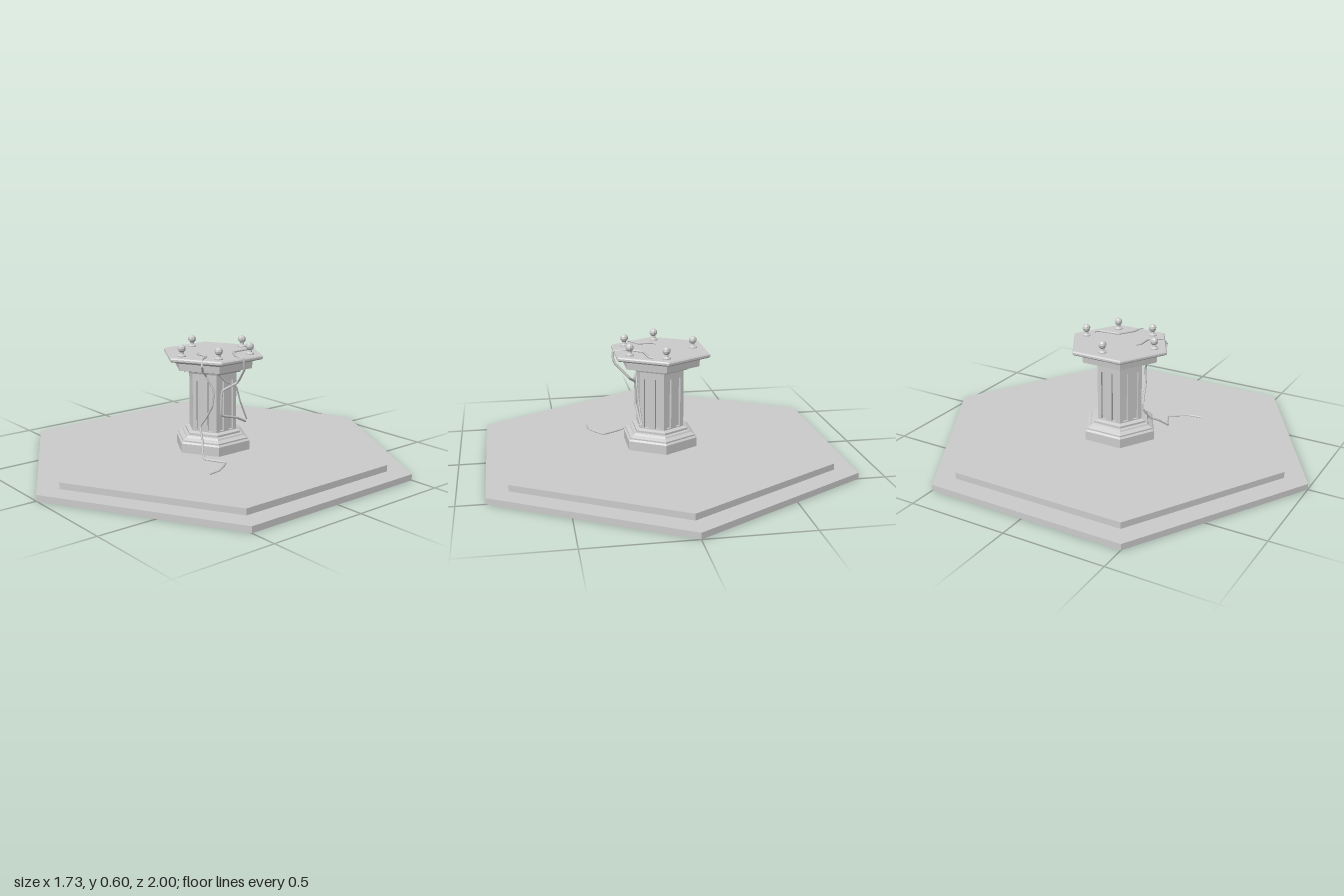
import * as THREE from 'three';

const stone = new THREE.MeshStandardMaterial({ color: 0xcccccc, flatShading: true });
const vineMaterial = new THREE.MeshStandardMaterial({ color: 0xcccccc });

function add(parent, name, geometry, y = 0, material = stone) {
  const mesh = new THREE.Mesh(geometry, material);
  mesh.name = name;
  mesh.position.y = y;
  parent.add(mesh);
  return mesh;
}

// Turned profile given as [radius, y] from bottom to top
function turned(profile, sides) {
  return new THREE.LatheGeometry(profile.map(([r, y]) => new THREE.Vector2(r, y)), sides);
}

// Hexagonal outline with two notches cut into every face
function flutedOutline(radius, offset, width, depth) {
  const points = [];
  const apothem = radius * Math.cos(Math.PI / 6);
  for (let i = 0; i < 6; i++) {
    const a = i * Math.PI / 3;
    const normal = new THREE.Vector2(Math.cos(a), Math.sin(a));
    const along = new THREE.Vector2(-normal.y, normal.x);
    const put = (t, d) => points.push(normal.clone().multiplyScalar(apothem - d).addScaledVector(along, t));
    put(-radius / 2, 0);
    for (const centre of [-offset, offset]) {
      put(centre - width / 2, 0);
      put(centre - width / 2, depth);
      put(centre + width / 2, depth);
      put(centre + width / 2, 0);
    }
  }
  return new THREE.Shape(points);
}

// Thin angular vine through a list of points
function vine(points, radius) {
  const curve = new THREE.CatmullRomCurve3(points.map(p => new THREE.Vector3(...p)), false, 'catmullrom', 0.15);
  return new THREE.TubeGeometry(curve, points.length * 7, radius, 6);
}

export function createModel() {
  const model = new THREE.Group();
  model.name = 'hexagonalPedestal';

  // Two-step platform
  add(model, 'lowerStep', new THREE.CylinderGeometry(1, 1, 0.03, 6), 0.015);
  add(model, 'upperStep', new THREE.CylinderGeometry(0.883, 0.883, 0.032, 6), 0.045);

  // Moulded column base
  add(model, 'columnBase', turned([
    [0, 0.06], [0.196, 0.06], [0.196, 0.107], [0.186, 0.115], [0.186, 0.122], [0.165, 0.132],
    [0.16, 0.14], [0.147, 0.143], [0.147, 0.153], [0.127, 0.16], [0, 0.16],
  ], 6));

  // Shaft: fluted middle between plain ends
  const fluted = new THREE.ExtrudeGeometry(flutedOutline(0.125, 0.029, 0.026, 0.012), { depth: 0.25, bevelEnabled: false });
  fluted.rotateX(-Math.PI / 2);
  add(model, 'flutedShaft', fluted, 0.165);
  add(model, 'shaftFoot', new THREE.CylinderGeometry(0.125, 0.125, 0.01, 6), 0.16);
  add(model, 'shaftNeck', new THREE.CylinderGeometry(0.125, 0.125, 0.045, 6), 0.4375);

  // Capital and table slab
  add(model, 'capital', turned([
    [0, 0.453], [0.145, 0.453], [0.15, 0.463], [0.172, 0.467], [0.205, 0.475], [0.208, 0.51],
    [0.225, 0.515], [0.235, 0.524], [0, 0.524],
  ], 6));
  add(model, 'tableSlab', turned([
    [0, 0.522], [0.252, 0.522], [0.26, 0.528], [0.26, 0.537], [0.254, 0.543], [0, 0.543],
  ], 6));

  // Ball finials, with one corner position left empty on the left-hand rim
  const finialProfile = turned([[0.021, 0], [0.021, 0.005], [0.011, 0.012], [0.009, 0.022], [0.012, 0.026]], 8);
  const ball = new THREE.SphereGeometry(0.02, 8, 6);
  for (const [x, z] of [[0, 0.19], [0.163, 0.095], [0.163, -0.1], [0, -0.19], [-0.165, 0]]) {
    const finial = new THREE.Group();
    finial.name = 'finial';
    add(finial, 'finialStem', finialProfile);
    add(finial, 'finialBall', ball, 0.039);
    finial.position.set(x, 0.543, z);
    model.add(finial);
  }

  // Vine from the platform up the front of the column and onto the slab
  add(model, 'frontVine', vine([
    [0.345, 0.065, 0.3], [0.335, 0.066, 0.23], [0.27, 0.067, 0.14], [0.17, 0.07, 0.19],
    [0.12, 0.11, 0.16], [0.08, 0.135, 0.13], [0.042, 0.19, 0.112], [0.07, 0.235, 0.098],
    [0.108, 0.3, 0.09], [0.113, 0.38, 0.085], [0.085, 0.45, 0.11], [0.11, 0.485, 0.15],
    [0.15, 0.515, 0.185], [0.13, 0.547, 0.17], [0.09, 0.547, 0.11], [0.02, 0.547, 0.11], [0, 0.546, 0.092],
  ], 0.005), 0, vineMaterial);

  // Vine hanging over the left edge and curling round the column
  add(model, 'sideVine', vine([
    [0.06, 0.546, -0.18], [0.08, 0.547, -0.16], [0.09, 0.547, -0.06], [0.16, 0.547, -0.01],
    [0.232, 0.54, 0], [0.228, 0.49, -0.01], [0.155, 0.41, -0.03], [0.118, 0.37, 0.035],
    [0.115, 0.25, 0.04], [0.116, 0.22, -0.06], [0.113, 0.19, -0.12],
  ], 0.006), 0, vineMaterial);

  // Short shoot crossing the side of the column
  add(model, 'vineShoot', vine([
    [0.115, 0.46, 0.06], [0.116, 0.42, 0.02], [0.122, 0.38, -0.05], [0.118, 0.3, -0.08], [0.11, 0.2, -0.13],
  ], 0.004), 0, vineMaterial);

  return model;
}
